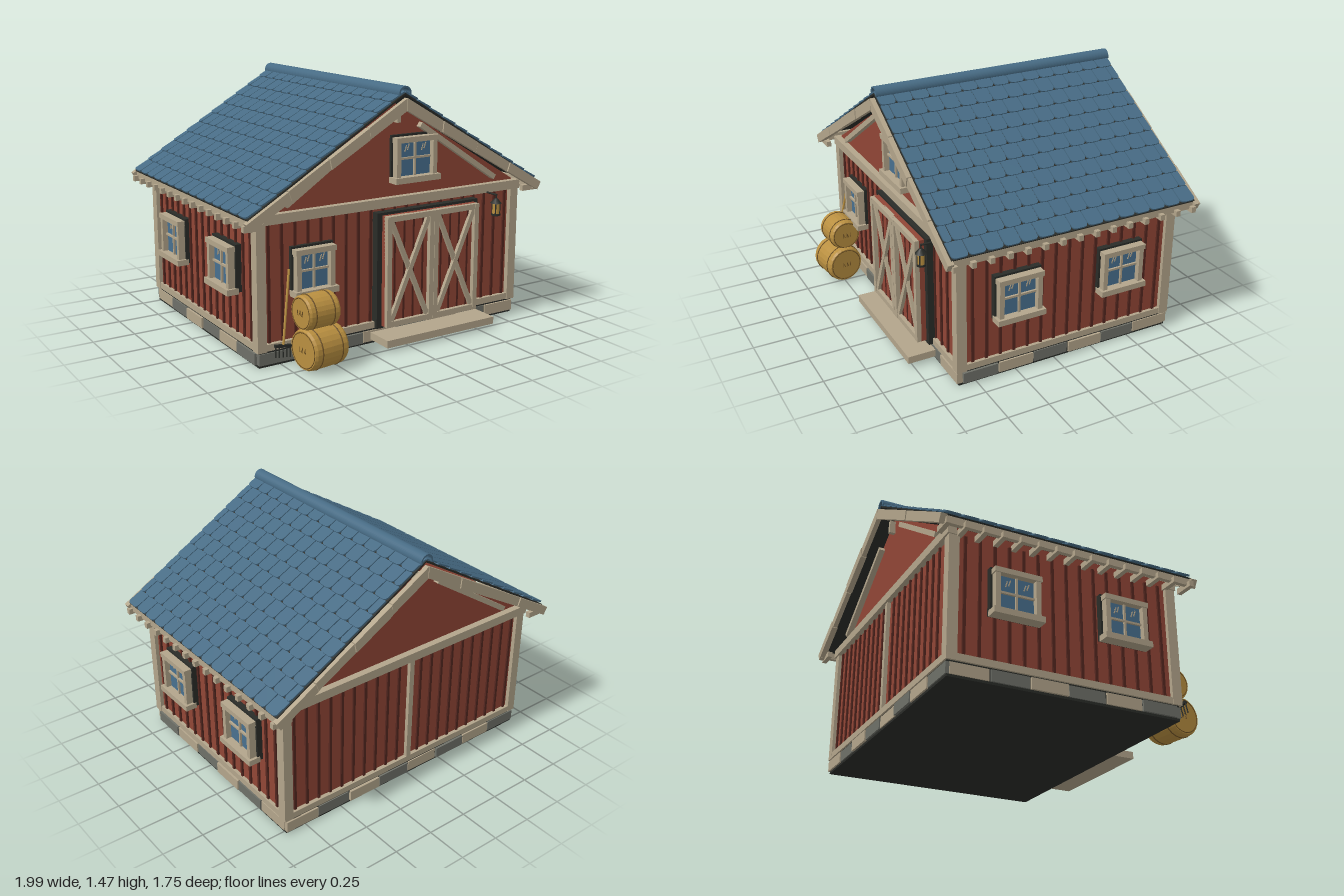
import * as THREE from 'three';
import { mergeGeometries } from 'three/addons/utils/BufferGeometryUtils.js';

const mat = (name, color, extra = {}) => {
  const m = new THREE.MeshStandardMaterial({ color, ...extra });
  m.name = name;
  return m;
};

export function createModel() {
  const red = mat('barn red', 0x914636), darkRed = mat('batten red', 0x54271f);
  const trim = mat('pale timber', 0xb3a58b), blue = mat('slate blue', 0x476b84, { side: THREE.DoubleSide });
  const dark = mat('dark iron', 0x2a2c28), gold = mat('straw gold', 0xb98f40);
  const brown = mat('twine brown', 0x6f5225), grey = mat('stone grey', 0x6e7068);
  const glass = mat('window glass', 0x48708f);
  const root = new THREE.Group();
  root.name = 'barn';

  const add = (parent, name, geo, m) => {
    const mesh = new THREE.Mesh(geo, m);
    mesh.name = name;
    parent.add(mesh);
    return mesh;
  };
  const group = (name, parent = root) => {
    const g = new THREE.Group();
    g.name = name;
    parent.add(g);
    return g;
  };
  // box given by its limits on each axis
  const box = (p, name, m, x0, x1, y0, y1, z0, z1) => {
    const b = add(p, name, new THREE.BoxGeometry(x1 - x0, y1 - y0, z1 - z0), m);
    b.position.set((x0 + x1) / 2, (y0 + y1) / 2, (z0 + z1) / 2);
    return b;
  };
  // flat board between two points in the xy plane
  const board = (p, name, m, ax, ay, bx, by, t, z0, z1) => {
    const b = add(p, name, new THREE.BoxGeometry(Math.hypot(bx - ax, by - ay), t, z1 - z0), m);
    b.position.set((ax + bx) / 2, (ay + by) / 2, (z0 + z1) / 2);
    b.rotation.z = Math.atan2(by - ay, bx - ax);
    return b;
  };
  // outline in xy extruded along z
  const slab = (p, name, m, pts, z0, z1) => {
    const s = new THREE.Shape(pts.map(([x, y]) => new THREE.Vector2(x, y)));
    const e = add(p, name, new THREE.ExtrudeGeometry(s, { depth: z1 - z0, bevelEnabled: false }), m);
    e.position.z = z0;
    return e;
  };
  const rod = (p, name, m, a, b, r) => {
    const A = new THREE.Vector3(...a), B = new THREE.Vector3(...b), d = B.clone().sub(A);
    const c = add(p, name, new THREE.CylinderGeometry(r, r, d.length(), 8), m);
    c.position.copy(A).add(B).multiplyScalar(0.5);
    c.quaternion.setFromUnitVectors(new THREE.Vector3(0, 1, 0), d.normalize());
    return c;
  };

  // foundation with alternating stones
  const base = group('foundation');
  box(base, 'foundationCore', dark, -0.88, 0.88, 0, 0.088, -0.77, 0.605);
  const stones = (n, a0, a1, place) => {
    const w = (a1 - a0) / n;
    for (let i = 0; i < n; i++) place(a0 + i * w + 0.004, a0 + (i + 1) * w - 0.004, i);
  };
  stones(8, -0.885, 0.885, (a, b, i) => {
    const m = i % 2 ? trim : grey, j = (i % 3) * 0.004;
    box(base, 'frontStone', m, a, b, 0.014, 0.078, 0.56, 0.612 + j);
    box(base, 'backStone', m, a, b, 0.014, 0.078, -0.777 - j, -0.72);
  });
  stones(6, -0.76, 0.585, (a, b, i) => {
    for (const s of [-1, 1]) {
      const m = i % 2 ? grey : trim, e = 0.886 + (i % 3) * 0.004;
      box(base, 'sideStone', m, s > 0 ? 0.8 : -e, s > 0 ? e : -0.8, 0.014, 0.078, a, b);
    }
  });

  // walls and gables
  const walls = group('walls');
  box(walls, 'wallBody', red, -0.87, 0.87, 0.08, 0.81, -0.755, 0.59);
  slab(walls, 'gable', red, [[-0.87, 0.8], [0.87, 0.8], [0.87, 0.845], [0, 1.365], [-0.87, 0.845]], -0.75, 0.585);
  for (let i = 0; i < 21; i++) {
    const x = -0.81 + i * 0.081;
    box(walls, 'frontBatten', darkRed, x - 0.008, x + 0.008, 0.1, 0.8, 0.58, 0.6);
    box(walls, 'backBatten', darkRed, x - 0.008, x + 0.008, 0.1, 0.8, -0.765, -0.75);
  }
  for (let i = 0; i < 15; i++) for (const s of [-1, 1]) {
    const z = -0.68 + i * 0.0855;
    box(walls, 'sideBatten', darkRed, s * 0.872 - 0.009, s * 0.872 + 0.009, 0.1, 0.8, z - 0.008, z + 0.008);
  }

  // posts, sills and tie beams
  const frame = group('timberFrame');
  for (const s of [-1, 1]) {
    for (const z of [-0.75, 0.59]) box(frame, 'cornerPost', trim, s * 0.865 - 0.028, s * 0.865 + 0.028, 0.088, 0.81, z - 0.03, z + 0.03);
    box(frame, 'sideSill', trim, s * 0.875 - 0.014, s * 0.875 + 0.014, 0.09, 0.128, -0.72, 0.56);
  }
  for (const [z, s] of [[0.6, 1], [-0.765, -1]]) {
    box(frame, 'endSill', trim, -0.84, 0.84, 0.09, 0.128, z - 0.014, z + 0.014);
    box(frame, 'tieBeam', trim, -0.9, 0.9, 0.787, 0.84, z - 0.025, z + 0.025);
    box(frame, 'kingPost', trim, -0.012, 0.012, 1.26, 1.34, z - 0.02, z + 0.03);
    for (const k of [-1, 1]) board(frame, 'gableRake', trim, k * 0.71, 0.875, k * 0.16, 1.235, 0.03, z - 0.02, z + 0.02);
  }
  box(frame, 'backPost', trim, -0.016, 0.016, 0.12, 0.79, -0.778, -0.75);

  // bargeboards in staggered lengths along each gable edge
  for (const s of [-1, 1]) for (const [z0, z1] of [[0.68, 0.708], [-0.868, -0.84]]) {
    for (let i = 0; i < 4; i++) {
      const top = t => [s * 0.995 * t, 1.405 - 0.575 * t], low = t => [s * 0.97 * t, 1.335 - 0.55 * t];
      const a = i / 4 + 0.002, b = (i + 1) / 4 - 0.002, o = i % 2 ? 0.004 : 0;
      slab(frame, 'bargeboard', trim, [top(a), top(b), low(b), low(a)], z0 - o, z1 + o);
    }
  }

  // eaves
  const eaves = group('eaves');
  for (const s of [-1, 1]) {
    box(eaves, 'fascia', trim, s * 0.957 - 0.013, s * 0.957 + 0.013, 0.797, 0.84, -0.866, 0.705);
    for (let i = 0; i < 15; i++) {
      const z = -0.828 + i * 0.107;
      box(eaves, 'rafterTail', trim, s * 0.935 - 0.06, s * 0.935 + 0.06, 0.782, 0.816, z - 0.014, z + 0.014);
    }
  }

  // roof: underlay with rows of round-cornered shingles
  const pitch = Math.atan(0.6), len = 0.975 / Math.cos(pitch), rows = 11, step = len / rows, half = 0.765, tile = 0.102;
  const shingle = (a, b, y) => {
    const l = a + 0.003, r = b - 0.003, h = step + 0.002, k = Math.min(0.026, (r - l) / 2);
    const s = new THREE.Shape();
    s.moveTo(l, 0).lineTo(l, -h + k);
    s.quadraticCurveTo(l, -h, l + k, -h).lineTo(r - k, -h);
    s.quadraticCurveTo(r, -h, r, -h + k).lineTo(r, 0);
    return new THREE.ExtrudeGeometry(s, { depth: 0.009, bevelEnabled: false, curveSegments: 4 }).rotateX(-0.06).translate(0, y, 0);
  };
  for (const s of [-1, 1]) {
    const g = group('roofSlope');
    g.rotation.order = 'YXZ';
    g.rotation.set(pitch - Math.PI / 2, s * Math.PI / 2, 0);
    g.position.set(0, 1.432, -0.08);
    box(g, 'underlay', dark, -half, half, -len, 0, -0.01, -0.001);
    const geos = [];
    for (let r = 0; r < rows; r++) for (let i = 0; i < 16; i++) {
      const c = -half + (i - (r % 2) / 2) * tile;
      const a = Math.max(c, -half), b = Math.min(c + tile, half);
      if (b - a > 0.02) geos.push(shingle(a, b, -r * step));
    }
    add(g, 'shingles', mergeGeometries(geos), blue);
  }
  const arc = new THREE.Shape();
  arc.absarc(0, 0, 0.041, -0.3, Math.PI + 0.3, false);
  arc.absarc(0, 0, 0.031, Math.PI + 0.3, -0.3, true);
  const cap = add(root, 'ridgeCap', new THREE.ExtrudeGeometry(arc, { depth: 1.535, bevelEnabled: false, curveSegments: 12 }), blue);
  cap.position.set(0, 1.428, -0.85);

  // window facing +z, centred on its own origin
  const makeWindow = (w, h, x, y, z, ry = 0) => {
    const g = group('window'), X = w / 2, Y = h / 2, d = 0.055;
    box(g, 'surround', dark, -X + 0.004, X - 0.004, -Y + 0.01, Y, -0.02, 0.014);
    box(g, 'pane', glass, -X + 0.04, X - 0.04, -Y + 0.03, Y - 0.03, 0, 0.022);
    for (const s of [-1, 1]) box(g, 'jamb', trim, s * (X - 0.03) - 0.014, s * (X - 0.03) + 0.014, -Y + 0.02, Y - 0.02, 0, d);
    box(g, 'header', trim, -X + 0.01, X - 0.01, Y - 0.042, Y - 0.012, 0, d + 0.006);
    box(g, 'sill', trim, -X, X, -Y, -Y + 0.034, 0, d + 0.016);
    box(g, 'mullion', trim, -0.006, 0.006, -Y + 0.03, Y - 0.03, 0, 0.034);
    box(g, 'crossbar', trim, -X + 0.04, X - 0.04, -0.006, 0.006, 0, 0.034);
    for (const s of [-1, 1]) for (const k of [0, 1]) {
      const cx = s * (X - 0.04) / 2 + k * 0.018, cy = Y * 0.4 + k * 0.008;
      board(g, 'glint', trim, cx - 0.008, cy - 0.018, cx + 0.004, cy + 0.018, 0.006, 0.02, 0.025);
    }
    g.position.set(x, y, z);
    g.rotation.y = ry;
  };
  makeWindow(0.27, 0.275, -0.55, 0.51, 0.6);
  makeWindow(0.31, 0.27, 0.12, 1.053, 0.588);
  for (const s of [-1, 1]) for (const z of [0.255, -0.405]) makeWindow(0.295, 0.28, s * 0.89, 0.502, z, s * Math.PI / 2);

  // double door with crossed braces
  const doors = group('doors');
  box(doors, 'doorSurround', dark, -0.144, 0.567, 0.09, 0.765, 0.57, 0.638);
  for (const [a, b] of [[-0.112, 0.21], [0.212, 0.534]]) {
    const leaf = group('doorLeaf', doors);
    box(leaf, 'panel', red, a, b, 0.105, 0.75, 0.62, 0.668);
    for (let i = 1; i < 5; i++) box(leaf, 'groove', darkRed, a + i * 0.0645 - 0.006, a + i * 0.0645 + 0.006, 0.11, 0.74, 0.66, 0.671);
    for (const x of [a, b - 0.03]) box(leaf, 'stile', trim, x, x + 0.03, 0.105, 0.75, 0.66, 0.695);
    for (const y of [0.105, 0.718]) box(leaf, 'rail', trim, a + 0.03, b - 0.03, y, y + 0.032, 0.66, 0.693);
    board(leaf, 'brace', trim, a + 0.035, 0.14, b - 0.035, 0.715, 0.028, 0.66, 0.69);
    board(leaf, 'brace', trim, a + 0.035, 0.715, b - 0.035, 0.14, 0.028, 0.66, 0.686);
  }
  box(root, 'doorstep', trim, -0.167, 0.597, 0.025, 0.068, 0.6, 0.78);

  // wall lantern
  const lamp = group('lantern');
  lamp.position.set(0.65, 0.715, 0.708);
  const turned = (name, m, r0, r1, h, y) => {
    add(lamp, name, new THREE.CylinderGeometry(r0, r1, h, 8), m).position.y = y;
  };
  turned('lanternGlass', gold, 0.022, 0.022, 0.07, -0.005);
  turned('lanternBase', dark, 0.027, 0.027, 0.012, -0.043);
  turned('lanternCap', dark, 0.008, 0.034, 0.03, 0.04);
  for (let i = 0; i < 4; i++) {
    const a = Math.PI * (i / 2 + 0.25), x = 0.022 * Math.cos(a), z = 0.022 * Math.sin(a);
    rod(lamp, 'lanternBar', dark, [x, -0.04, z], [x, 0.03, z], 0.004);
  }
  rod(lamp, 'lanternHook', dark, [0, 0.05, 0], [0, 0.08, 0], 0.005);
  rod(lamp, 'lanternBracket', dark, [0, 0.075, 0.003], [0, 0.075, -0.11], 0.006);

  // round straw bales lying on their sides
  const bale = (r, l, x, y, z, ry) => {
    const g = group('strawBale');
    const pts = [[0, -0.5], [0.93, -0.5], [1, -0.44], [1.02, 0], [1, 0.44], [0.93, 0.5], [0, 0.5]];
    const body = new THREE.LatheGeometry(pts.map(([a, b]) => new THREE.Vector2(a * r, b * l)), 24);
    add(g, 'baleBody', body.toNonIndexed().rotateZ(-Math.PI / 2), gold).geometry.computeVertexNormals();
    for (const k of [-0.3, 0.3]) {
      const t = add(g, 'twine', new THREE.TorusGeometry(r * 1.01, 0.004, 6, 24).rotateY(Math.PI / 2), brown);
      t.position.x = k * l;
    }
    for (const s of [-1, 1]) {
      const e = add(g, 'endRing', new THREE.TorusGeometry(r * 0.86, 0.003, 4, 24).rotateY(Math.PI / 2), brown);
      e.position.x = s * l / 2;
      for (let i = 0; i < 5; i++) {
        const c = (i - 2) * 0.012;
        rod(g, 'straw', brown, [s * l * 0.5, -0.015, c - 0.005], [s * l * 0.5, 0.015, c + (i % 2 ? 0.008 : -0.006)], 0.002);
      }
    }
    g.position.set(x, y, z);
    g.rotation.y = ry;
  };
  bale(0.114, 0.225, -0.59, 0.12, 0.755, 0.13);
  bale(0.096, 0.195, -0.598, 0.315, 0.728, 0.06);

  // rake leaning on the wall
  const rake = group('rake');
  rod(rake, 'rakeHandle', gold, [-0.705, 0.535, 0.63], [-0.778, 0.14, 0.69], 0.007);
  box(rake, 'rakeHead', dark, -0.83, -0.73, 0.13, 0.145, 0.682, 0.698).rotation.z = -0.15;
  for (let i = 0; i < 5; i++) {
    const x = -0.825 + i * 0.0225, y = 0.143 - i * 0.003;
    rod(rake, 'rakeTine', dark, [x, y, 0.69], [x - 0.006, y - 0.06, 0.7], 0.004);
  }
  return root;
}
